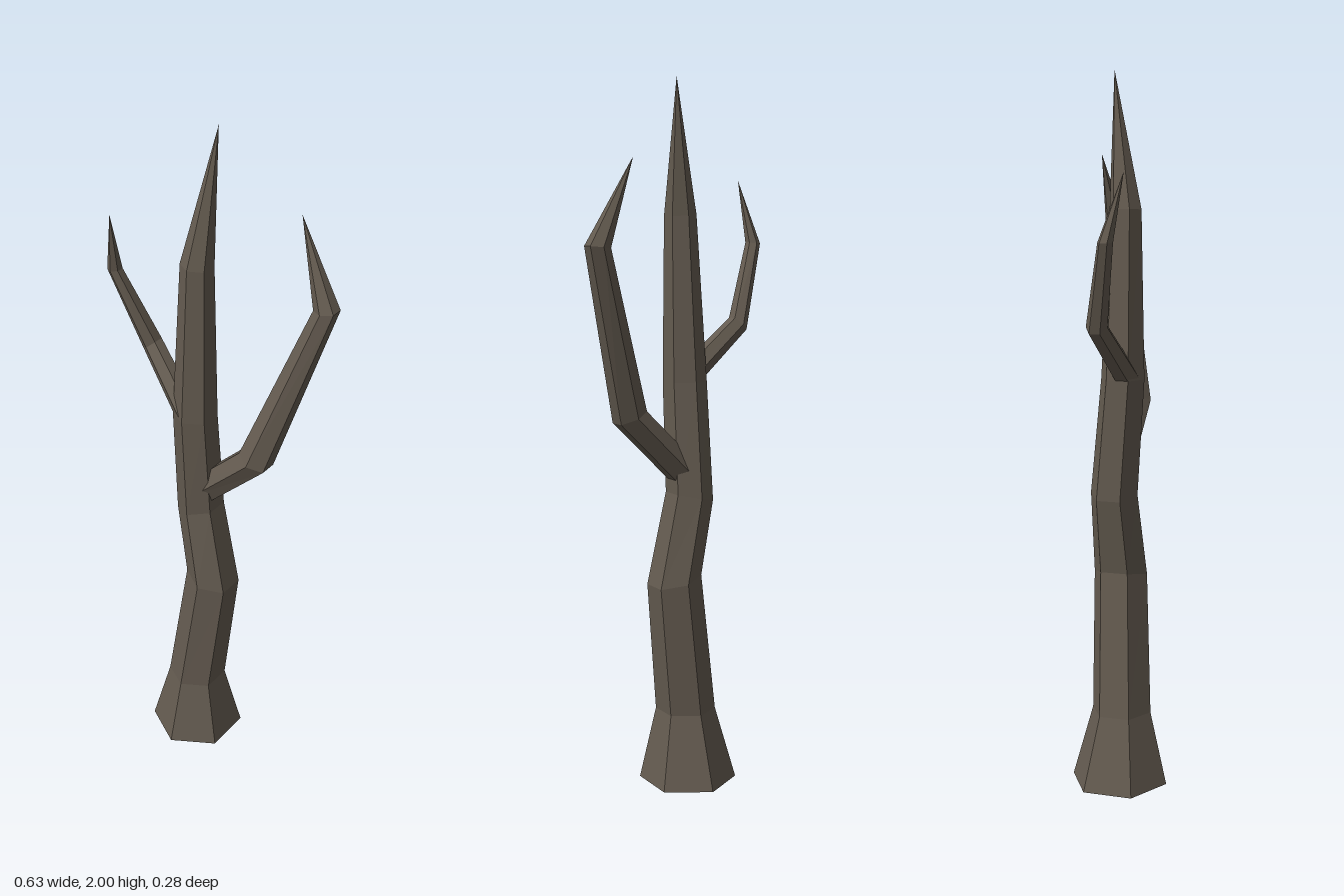
import * as THREE from 'three';

const SIDES = 6;

// Faceted limb: rings of [x, y, z, radius, tilt] where tilt leans the ring's axis toward +x, closed by a pointed tip.
function limb(name, rings, tip, material) {
  const positions = [], index = [];
  for (const [x, y, z, r, tilt] of rings) {
    const across = new THREE.Vector3(Math.cos(tilt), -Math.sin(tilt), 0);
    for (let i = 0; i < SIDES; i++) {
      const a = (i / SIDES) * Math.PI * 2;
      const s = Math.sin(a) * r;
      positions.push(x + across.x * s, y + across.y * s, z + Math.cos(a) * r);
    }
  }
  const tipIndex = positions.length / 3;
  positions.push(...tip);
  const last = (rings.length - 1) * SIDES;
  for (let i = 0; i < SIDES; i++) {
    const j = (i + 1) % SIDES;
    // side walls
    for (let k = 0; k < last; k += SIDES) {
      index.push(k + i, k + j, k + SIDES + j, k + i, k + SIDES + j, k + SIDES + i);
    }
    // tip
    index.push(last + i, last + j, tipIndex);
    // bottom cap
    if (i > 0 && i < SIDES - 1) index.push(0, j, i);
  }
  const indexed = new THREE.BufferGeometry();
  indexed.setAttribute('position', new THREE.Float32BufferAttribute(positions, 3));
  indexed.setIndex(index);
  const geometry = indexed.toNonIndexed();
  geometry.computeVertexNormals();
  const mesh = new THREE.Mesh(geometry, material);
  mesh.name = name;
  return mesh;
}

export function createModel() {
  const bark = new THREE.MeshStandardMaterial({ color: 0x645b50, flatShading: true });
  bark.name = 'bark';

  const tree = new THREE.Group();
  tree.name = 'bareTree';

  // Crooked trunk with a flared foot
  tree.add(limb('trunk', [
    [-0.06, 0, 0, 0.14, 0],
    [-0.055, 0.21, 0.005, 0.086, 0],
    [-0.007, 0.605, -0.012, 0.078, 0.2],
    [-0.054, 0.845, -0.017, 0.068, -0.2],
    [-0.053, 1.17, 0.008, 0.062, 0],
    [-0.04, 1.63, 0.012, 0.045, 0.05],
  ], [-0.003, 2, -0.03], bark));

  // Larger branch on the model's left
  tree.add(limb('leftBranch', [
    [-0.04, 0.91, -0.015, 0.046, 0.78],
    [0.137, 1.083, -0.015, 0.05, 0.39],
    [0.281, 1.549, -0.108, 0.035, -0.08],
  ], [0.185, 1.78, -0.126], bark));

  // Smaller branch on the model's right
  tree.add(limb('rightBranch', [
    [-0.05, 1.155, 0.03, 0.036, -0.78],
    [-0.215, 1.327, -0.015, 0.03, -0.7],
    [-0.297, 1.552, 0.035, 0.021, -0.08],
  ], [-0.272, 1.73, 0.077], bark));

  return tree;
}
